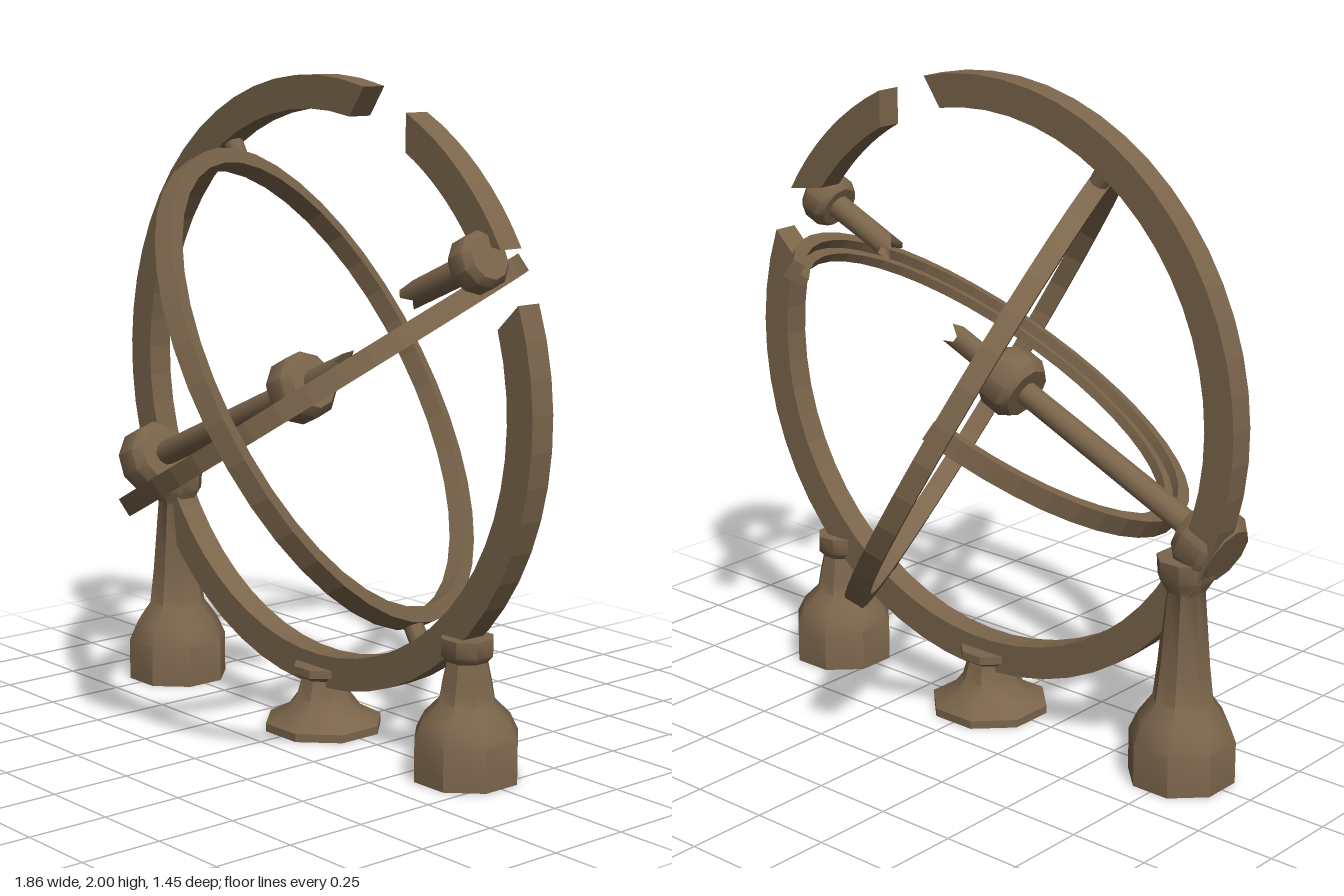
import * as THREE from 'three';
import { toCreasedNormals } from 'three/addons/utils/BufferGeometryUtils.js';

const V = (x, y, z) => new THREE.Vector3(x, y, z);
const CENTER = V(0, 1.07, 0);
const RAD = Math.PI / 180;

export function createModel() {
  const model = new THREE.Group();
  const bronze = new THREE.MeshStandardMaterial({ color: 0x7b654b });
  bronze.name = 'agedBronze';

  const add = (name, geometry, parent = model) => {
    const mesh = new THREE.Mesh(geometry, bronze);
    mesh.name = name;
    parent.add(mesh);
    return mesh;
  };

  // Flat ring segment around z; the outer and inner arcs may end at different angles
  const arc = (rOut, rIn, z0, z1, out, inn = out, segments = 24) => {
    const shape = new THREE.Shape();
    shape.absarc(0, 0, rOut, out[0], out[1], false);
    shape.absarc(0, 0, rIn, inn[1], inn[0], true);
    const geometry = new THREE.ExtrudeGeometry(shape, { depth: z1 - z0, bevelEnabled: false, curveSegments: segments });
    return geometry.translate(0, 0, z0);
  };

  // Faceted turned part around y
  const turned = (profile, sides, crease = 0.5) => {
    const geometry = new THREE.LatheGeometry(profile.map(([r, y]) => new THREE.Vector2(r, y)), sides);
    return toCreasedNormals(geometry.rotateY(Math.PI / sides), crease);
  };

  // Broken outer ring
  const outerParts = [
    ['outerRingMain', [76, 381], [78.7, 378.1], 24],
    ['outerRingFragment', [31, 64], [37, 60.7], 4],
  ];
  for (const [name, out, inn, segments] of outerParts) {
    const rad = (a) => a.map((d) => d * RAD);
    add(name, arc(0.93, 0.83, -0.04, 0.04, rad(out), rad(inn), segments)).position.copy(CENTER);
  }

  // Groups whose local z is the axis of a tilted ring
  const tilted = (name, normal) => {
    const group = new THREE.Group();
    group.name = name;
    group.position.copy(CENTER);
    group.quaternion.setFromUnitVectors(V(0, 0, 1), normal.normalize());
    model.add(group);
    return group;
  };

  // Complete inner ring
  const meridian = tilted('innerRing', V(0.77, 0.475, -0.41));
  const annulus = new THREE.Shape().absarc(0, 0, 0.785, 0, Math.PI * 2, false);
  annulus.holes.push(new THREE.Path().absarc(0, 0, 0.735, 0, Math.PI * 2, true));
  const annulusGeometry = new THREE.ExtrudeGeometry(annulus, { depth: 0.06, bevelEnabled: false, curveSegments: 20 });
  add('innerRingBand', annulusGeometry.translate(0, 0, -0.03), meridian);

  // Pivot pins between the inner and outer rings
  const pinAxis = V(-0.524, 0.852, 0).normalize();
  for (const side of [1, -1]) {
    const pin = add('pivotPin', new THREE.CylinderGeometry(0.03, 0.03, 0.1, 8));
    pin.quaternion.setFromUnitVectors(V(0, 1, 0), pinAxis);
    pin.position.copy(CENTER).addScaledVector(pinAxis, side * 0.805);
  }

  // Broken stepped ring, open at the back
  const ecliptic = tilted('brokenInnerRing', V(-0.44, 0.835, 0.31));
  const inverse = ecliptic.quaternion.clone().invert();
  const angleOf = (p) => {
    const q = p.applyQuaternion(inverse);
    return Math.atan2(q.y, q.x);
  };
  const start = angleOf(V(-0.3, 0.03, -0.63));
  let end = angleOf(V(0.4, 0.38, -0.48));
  if (end < start) end += Math.PI * 2;
  add('brokenRingBand', arc(0.705, 0.665, -0.03, 0.03, [start, end], undefined, 18), ecliptic);
  add('brokenRingLedge', arc(0.67, 0.635, -0.03, 0.0, [start, end], undefined, 18), ecliptic);

  // Rod with a splintered far end, running along +y from its origin
  const brokenRod = (length) => {
    const geometry = new THREE.CylinderGeometry(0.038, 0.04, length, 10).translate(0, length / 2, 0);
    const p = geometry.attributes.position;
    for (let i = 0; i < p.count; i++) {
      if (p.getY(i) < length * 0.9) continue;
      const r = Math.hypot(p.getX(i), p.getZ(i));
      const a = Math.atan2(p.getX(i), p.getZ(i));
      p.setY(i, length + (r < 0.01 ? -0.035 : 0.028 * Math.sin(3 * a + 0.6)));
    }
    return toCreasedNormals(geometry, 0.7);
  };
  const knob = (r, h) => turned([
    [0, -h / 2], [r * 0.78, -h / 2], [r, -h * 0.28], [r, h * 0.28], [r * 0.78, h / 2], [0, h / 2],
  ], 10, 0.7);

  // Axle in two pieces with its knobs and hub
  const axle = (name, x, y, angle) => {
    const group = new THREE.Group();
    group.name = name;
    group.position.set(x, y, 0.055);
    group.rotation.z = angle * RAD;
    model.add(group);
    return group;
  };
  const lower = axle('lowerAxle', -0.79, 0.73, -66.2);
  add('lowerRod', brokenRod(1.06), lower);
  add('lowerKnob', knob(0.115, 0.14), lower);
  add('hub', knob(0.105, 0.13), lower).position.y = 0.82;
  const upper = axle('upperAxle', 0.725, 1.51, 113.7);
  add('upperRod', brokenRod(0.29), upper);
  add('upperKnob', knob(0.085, 0.1), upper);

  // Octagonal pedestals, profiles given as flat-to-centre distance and height
  const pedestals = [
    ['tallPedestal', -0.75, [[0, 0], [0.15, 0], [0.15, 0.13], [0.125, 0.19], [0.085, 0.25], [0.073, 0.36],
      [0.055, 0.59], [0.078, 0.63], [0.082, 0.69], [0, 0.69]]],
    ['centrePedestal', 0, [[0, 0], [0.172, 0], [0.172, 0.025], [0.11, 0.06], [0.082, 0.1], [0.066, 0.16],
      [0.088, 0.175], [0.088, 0.2], [0, 0.2]]],
    ['shortPedestal', 0.64, [[0, 0], [0.148, 0], [0.148, 0.13], [0.125, 0.18], [0.08, 0.23], [0.072, 0.28],
      [0.058, 0.35], [0.074, 0.37], [0.074, 0.42], [0, 0.42]]],
  ];
  for (const [name, x, profile] of pedestals) {
    const scaled = profile.map(([r, y]) => [r / Math.cos(Math.PI / 8), y]);
    add(name, turned(scaled, 8, 0.75)).position.x = x;
  }
  return model;
}
